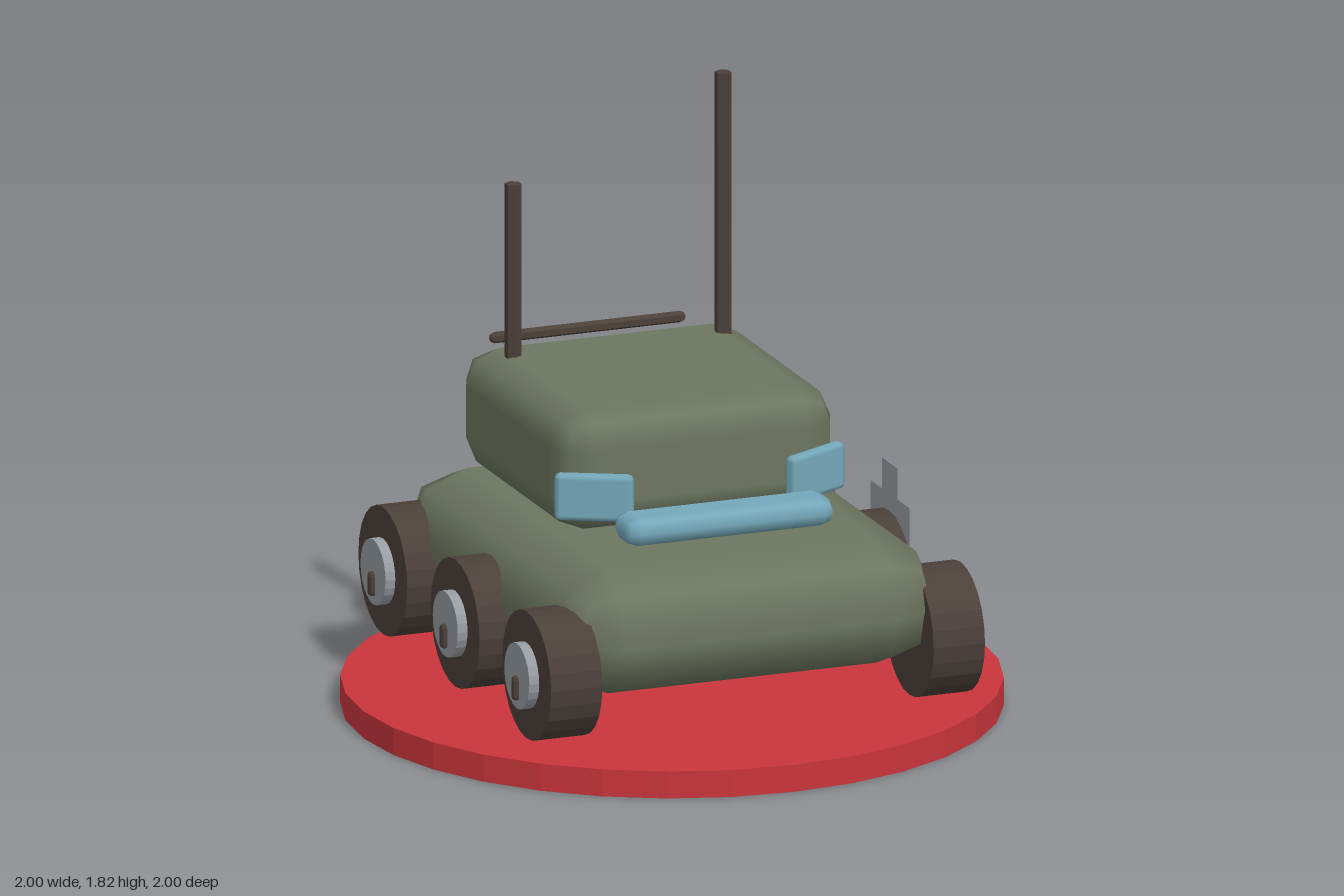
import * as THREE from 'three';
import { RoundedBoxGeometry } from 'three/addons/geometries/RoundedBoxGeometry.js';

function mat(name, color, extra = {}) {
  const m = new THREE.MeshStandardMaterial({ color, ...extra });
  m.name = name;
  return m;
}

export function createModel() {
  const flat = { flatShading: true };
  const olive = mat('olive', 0x6d7660);
  const red = mat('red', 0xc9353b, flat);
  const blue = mat('glassBlue', 0x74a8ba);
  const brown = mat('darkBrown', 0x4b403a, flat);
  const grey = mat('hubGrey', 0x979ca1, flat);
  const trim = mat('trimGrey', 0x9b9da3, { side: THREE.DoubleSide });
  const black = mat('black', 0x212121, { side: THREE.DoubleSide });

  const model = new THREE.Group();
  model.name = 'sixWheeledVehicle';

  function add(name, geometry, material, x, y, z, parent = model) {
    const mesh = new THREE.Mesh(geometry, material);
    mesh.name = name;
    mesh.position.set(x, y, z);
    parent.add(mesh);
    return mesh;
  }

  // Round display base
  add('base', new THREE.CylinderGeometry(1, 1, 0.085, 32), red, 0, 0.0425, 0);

  // Hull and cabin with softly bevelled edges
  add('hull', new RoundedBoxGeometry(1.24, 0.39, 1.515, 1, 0.185), olive, 0, 0.433, -0.003);
  add('cabin', new RoundedBoxGeometry(0.91, 0.38, 0.9, 1, 0.11), olive, 0, 0.817, -0.195);

  // Front bar and the two angled windows
  add('frontBar', new RoundedBoxGeometry(0.68, 0.092, 0.155, 1, 0.045), blue, 0, 0.7, 0.425);
  for (const s of [1, -1]) {
    const pane = add(s > 0 ? 'leftWindow' : 'rightWindow',
      new RoundedBoxGeometry(0.24, 0.148, 0.045, 1, 0.018), blue, s * 0.358, 0.762, 0.267);
    pane.rotation.y = s * 0.48;
  }

  // Antennas
  for (const [name, x, top] of [['leftAntenna', 0.343, 1.823], ['rightAntenna', -0.337, 1.547]]) {
    const h = top - 0.95;
    add(name, new THREE.CylinderGeometry(0.026, 0.026, h, 6), brown, x, top - h / 2, -0.448);
  }

  // Rear bars
  for (const y of [0.99, 0.908, 0.822]) {
    const bar = add('rearBar', new THREE.CapsuleGeometry(0.018, 0.6, 2, 6), brown, 0, y, -0.692);
    bar.rotation.z = Math.PI / 2;
  }

  // Wheels: tyre, hub and small latch
  const tyreGeo = new THREE.CylinderGeometry(0.2, 0.2, 0.166, 24).rotateZ(Math.PI / 2);
  const hubGeo = new THREE.CylinderGeometry(0.102, 0.102, 0.1, 24).rotateZ(Math.PI / 2);
  const latchGeo = new RoundedBoxGeometry(0.06, 0.076, 0.034, 1, 0.012);
  for (const s of [1, -1]) {
    for (const z of [0.585, 0, -0.59]) {
      const wheel = new THREE.Group();
      wheel.name = s > 0 ? 'leftWheel' : 'rightWheel';
      wheel.position.set(s * 0.62, 0.33, z);
      add('tyre', tyreGeo, brown, 0, 0, 0, wheel);
      add('hub', hubGeo, grey, s * 0.065, 0, 0, wheel);
      add('latch', latchGeo, brown, s * 0.101, -0.037, 0, wheel);
      model.add(wheel);
    }
  }

  // Flat cross plate on the left side, with a pale border
  function cross(reach, half) {
    const pts = [];
    for (let i = 0; i < 4; i++) {
      for (const [x, y] of [[reach, -half], [reach, half], [half, half]]) {
        pts.push(new THREE.Vector2(x, y).rotateAround(new THREE.Vector2(), i * Math.PI / 2));
      }
    }
    return new THREE.ShapeGeometry(new THREE.Shape(pts)).rotateY(Math.PI / 2);
  }
  add('crossBorder', cross(0.16, 0.063), trim, 0.751, 0.48, -0.113);
  add('crossFace', cross(0.149, 0.052), black, 0.755, 0.48, -0.113);

  return model;
}
